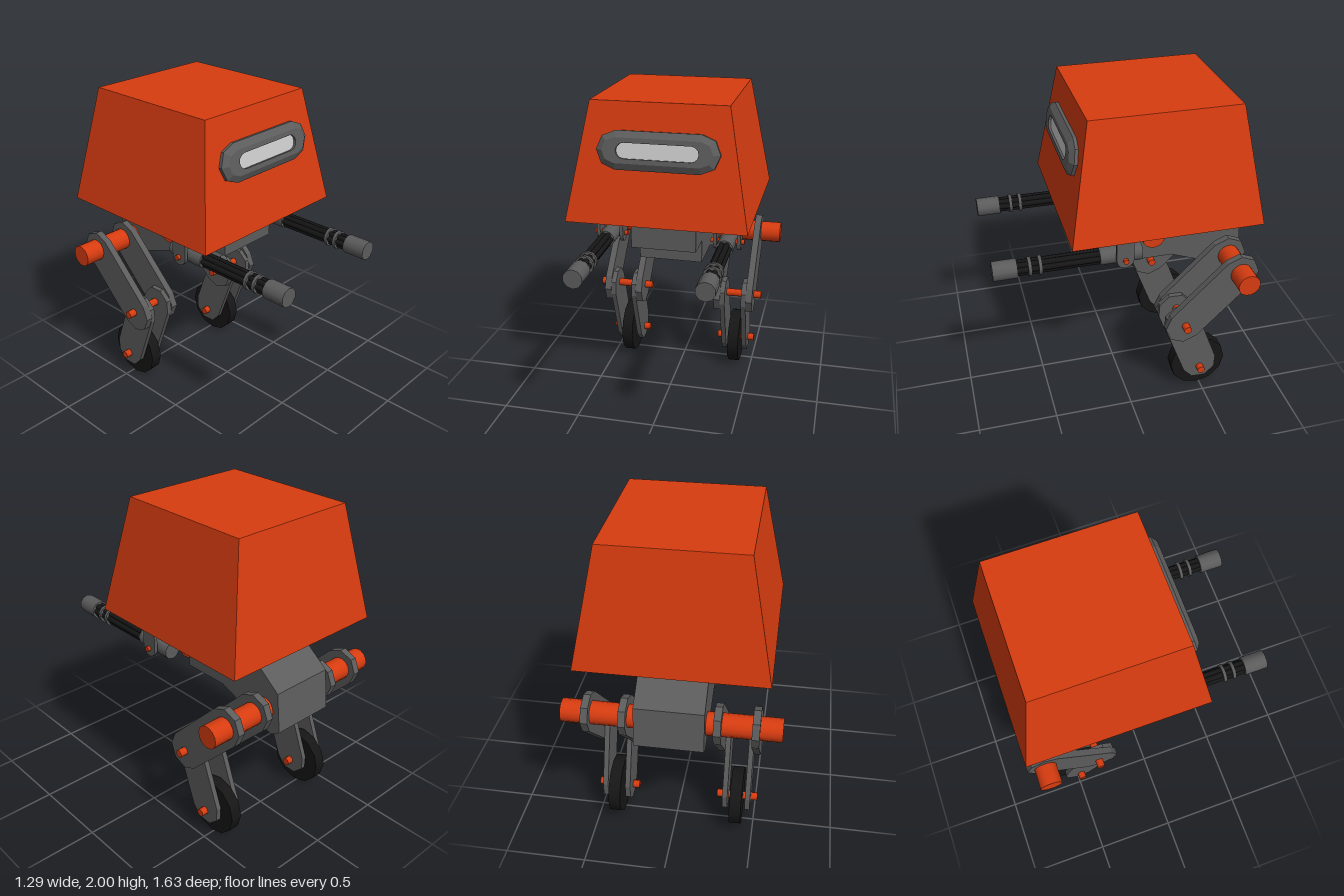
import * as THREE from 'three';

const mat = (color) => new THREE.MeshStandardMaterial({ color });

export function createModel() {
  const root = new THREE.Group();
  const orange = mat(0xd83c10), grey = mat(0x5c5c5c), black = mat(0x161616), pale = mat(0xcccccc);

  const add = (name, geo, material, parent = root) => {
    const mesh = new THREE.Mesh(geo, material);
    mesh.name = name;
    parent.add(mesh);
    return mesh;
  };

  // Round bar along x, from x0 to x1
  const barX = (name, r, x0, x1, y, z, material, parent = root, sides = 14) => {
    const g = new THREE.CylinderGeometry(r, r, x1 - x0, sides).rotateZ(Math.PI / 2);
    return add(name, g.translate((x0 + x1) / 2, y, z), material, parent);
  };

  // Round bar along z, from z0 to z1
  const barZ = (name, r, z0, z1, x, y, material, parent, sides = 10) => {
    const g = new THREE.CylinderGeometry(r, r, z1 - z0, sides).rotateX(Math.PI / 2);
    return add(name, g.translate(x, y, (z0 + z1) / 2), material, parent);
  };

  // Side profile of [z, y] points, extruded across x
  const sideSlab = (name, points, x0, x1, material, parent = root) => {
    const shape = new THREE.Shape(points.map(([z, y]) => new THREE.Vector2(-z, y)));
    const g = new THREE.ExtrudeGeometry(shape, { depth: x1 - x0, bevelEnabled: false });
    return add(name, g.rotateY(Math.PI / 2).translate(x0, 0, 0), material, parent);
  };

  // Outline of a bar with faceted round ends between two points
  const capsule = ([ax, ay], [bx, by], r, steps = 4) => {
    const dir = Math.atan2(by - ay, bx - ax), pts = [];
    for (const [cx, cy, start] of [[bx, by, dir - Math.PI / 2], [ax, ay, dir + Math.PI / 2]]) {
      for (let i = 0; i <= steps; i++) {
        const t = start + (i / steps) * Math.PI;
        pts.push([cx + r * Math.cos(t), cy + r * Math.sin(t)]);
      }
    }
    return pts;
  };

  // Head: box narrowed towards the top
  const headGeo = new THREE.BoxGeometry(1.11, 0.72, 1.16);
  const p = headGeo.attributes.position;
  for (let i = 0; i < p.count; i++) {
    if (p.getY(i) > 0) p.setXYZ(i, p.getX(i) * 0.748, p.getY(i), p.getZ(i) * 0.776);
  }
  headGeo.computeVertexNormals();
  add('head', headGeo.translate(-0.015, 1.64, -0.21), orange);

  // Visor: bevelled frame and screen on the sloping face
  const visor = new THREE.Group();
  visor.name = 'visor';
  visor.position.set(-0.007, 1.723, 0.29);
  visor.rotation.x = -Math.atan2(0.13, 0.72);
  root.add(visor);
  const toVectors = (pts) => pts.map(([x, y]) => new THREE.Vector2(x, y));
  const frame = new THREE.Shape(toVectors(capsule([-0.255, 0], [0.255, 0], 0.075)));
  frame.holes.push(new THREE.Path(toVectors(capsule([-0.2, 0], [0.2, 0], 0.082)).reverse()));
  frame.holes[0] = new THREE.Path(toVectors(capsule([-0.2, 0], [0.2, 0], 0.046, 6)).reverse());
  add('visorFrame', new THREE.ExtrudeGeometry(frame, { depth: 0.045, bevelEnabled: false }), grey, visor);
  // Sloping rim around the frame
  const inner = capsule([-0.255, 0], [0.255, 0], 0.075), outer = capsule([-0.255, 0], [0.255, 0], 0.115);
  const rim = [];
  inner.forEach((a, i) => {
    const j = (i + 1) % inner.length;
    const o0 = [...outer[i], 0], o1 = [...outer[j], 0];
    const m0 = [...outer[i], 0.02], m1 = [...outer[j], 0.02];
    const f0 = [...a, 0.045], f1 = [...inner[j], 0.045];
    for (const [q0, q1, q2, q3] of [[o0, o1, m1, m0], [m0, m1, f1, f0]]) {
      rim.push(...q0, ...q1, ...q2, ...q0, ...q2, ...q3);
    }
  });
  const rimGeo = new THREE.BufferGeometry();
  rimGeo.setAttribute('position', new THREE.Float32BufferAttribute(rim, 3));
  rimGeo.computeVertexNormals();
  add('visorRim', rimGeo, grey, visor);
  const screen = new THREE.Shape(toVectors(capsule([-0.2, 0], [0.2, 0], 0.047, 6)));
  add('visorScreen', new THREE.ShapeGeometry(screen).translate(0, 0, 0.03), pale, visor);

  // Body under the head
  sideSlab('body', [
    [0.18, 1.29], [0.18, 1.07], [-0.03, 1.07], [-0.03, 0.92], [-0.34, 0.92],
    [-0.75, 0.765], [-0.815, 0.805], [-0.79, 1.055], [-0.51, 1.275], [-0.51, 1.29],
  ], -0.21, 0.2, grey);

  // Cross bars through the body
  barX('hipAxle', 0.07, -0.65, 0.645, 0.92, -0.69, orange);
  barX('upperCrossBar', 0.07, -0.355, 0.35, 1.165, -0.17, orange);

  const hip = [-0.685, 0.922], knee = [-0.337, 0.572], ankle = [-0.476, 0.203];
  for (const [side, s] of [['left', 1], ['right', -1]]) {
    // Leg: paired links, pins and wheel, centred on its own x
    const leg = new THREE.Group();
    leg.name = side + 'Leg';
    leg.position.x = s * 0.385 - 0.004;
    root.add(leg);
    for (const k of [-1, 1]) {
      sideSlab('upperLink', capsule(hip, knee, 0.12), k * 0.11 - 0.022, k * 0.11 + 0.022, grey, leg);
      sideSlab('lowerLink', capsule(knee, ankle, 0.114), k * 0.072 - 0.016, k * 0.072 + 0.016, grey, leg);
    }
    barX('kneePin', 0.025, -0.182, 0.182, 0.58, -0.345, orange, leg, 10);
    barX('wheelPin', 0.025, -0.13, 0.13, 0.178, -0.476, orange, leg, 10);
    barX('wheel', 0.185, -0.037, 0.037, 0.182, -0.481, black, leg, 12);

    // Arm: bracket, socket, bundled rods, rings and hand
    const arm = new THREE.Group();
    arm.name = side + 'Arm';
    arm.position.set(s * 0.376, 1.11, 0);
    root.add(arm);
    for (const k of [-1, 1]) {
      sideSlab('armBracket', capsule([0.037, 0.22], [0.037, 0], 0.053, 6), k * 0.075 - 0.011, k * 0.075 + 0.011, grey, arm);
    }
    barX('armPin', 0.017, -0.106, 0.106, 0, 0.037, orange, arm, 8);
    barZ('armSocket', 0.055, -0.08, 0.18, 0, 0, grey, arm);
    for (let i = 0; i < 6; i++) {
      const t = (i / 6) * Math.PI * 2;
      barZ('armRod', 0.018, 0.17, 0.68, 0.03 * Math.cos(t), 0.03 * Math.sin(t), black, arm, 8);
    }
    barZ('armCore', 0.03, 0.17, 0.68, 0, 0, black, arm, 8);
    for (const z of [0.535, 0.597]) barZ('armRing', 0.058, z - 0.01, z + 0.01, 0, 0, grey, arm, 12);
    barZ('hand', 0.059, 0.67, 0.815, 0, 0, grey, arm);
  }
  return root;
}
